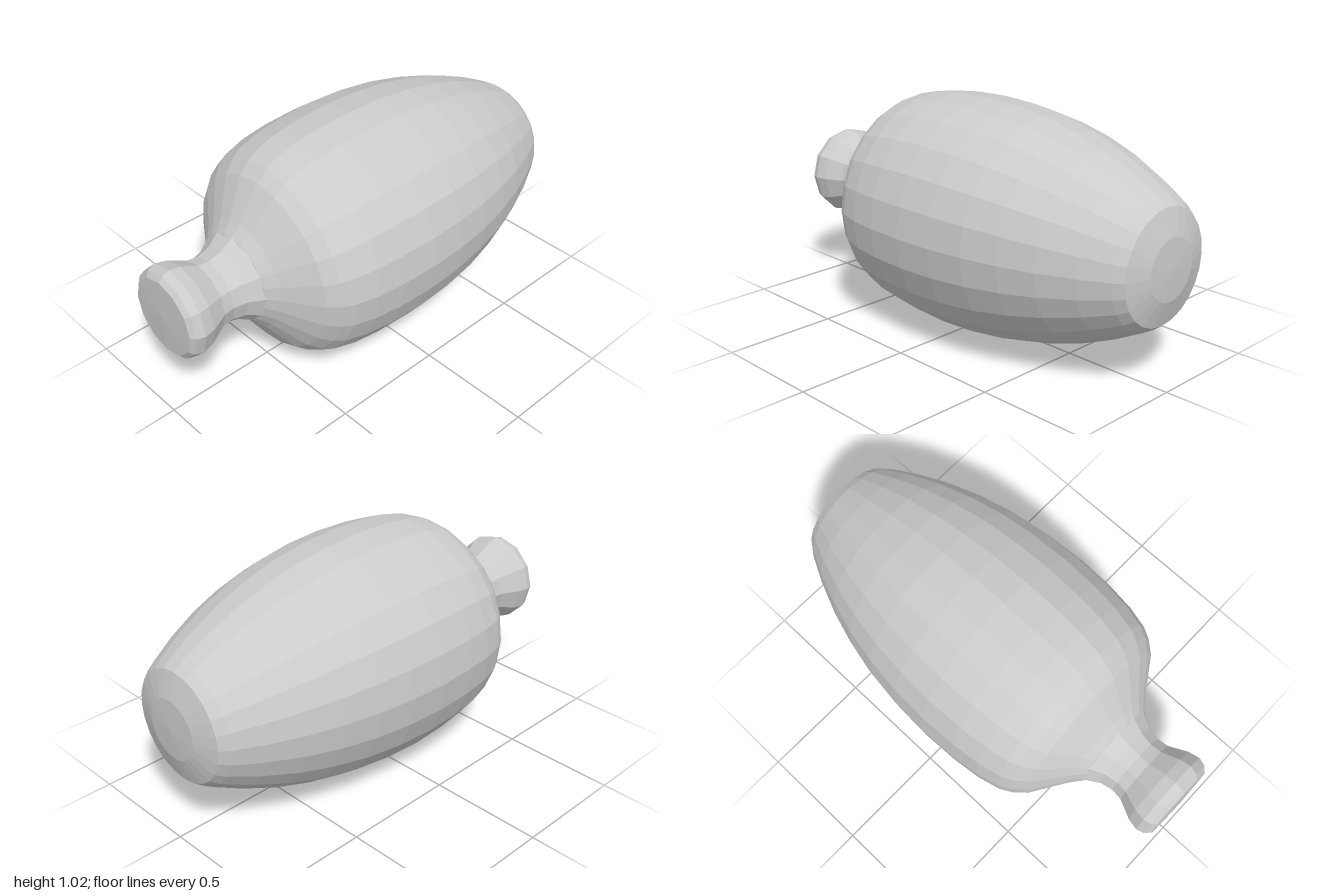
import * as THREE from 'three';

const CENTRE_Y = 0.51;

// Turned part around the z axis from [z, radius] pairs, listed back to front
function turned(name, profile, sides, material) {
  const points = profile.map(([z, r]) => new THREE.Vector2(r, z));
  const geometry = new THREE.LatheGeometry(points, sides);
  geometry.rotateX(Math.PI / 2);
  geometry.translate(0, CENTRE_Y, 0);
  const mesh = new THREE.Mesh(geometry, material);
  mesh.name = name;
  return mesh;
}

export function createModel() {
  const group = new THREE.Group();
  group.name = 'bottle';
  const grey = new THREE.MeshStandardMaterial({ color: 0xcccccc, flatShading: true });

  // Egg-shaped body: slightly domed base, widest in the middle, sloping shoulder
  group.add(turned('body', [
    [-1, 0], [-0.993, 0.13], [-0.96, 0.24], [-0.92, 0.27], [-0.8, 0.332],
    [-0.65, 0.395], [-0.5, 0.442], [-0.34, 0.478], [-0.17, 0.5], [0, 0.508],
    [0.17, 0.502], [0.3, 0.487], [0.4, 0.462], [0.45, 0.435], [0.5, 0.392],
    [0.55, 0.318], [0.6, 0.243], [0.64, 0.195], [0.67, 0.13],
  ], 24, grey));

  // Narrow neck flaring into a closed rounded mouth
  group.add(turned('neck', [
    [0.59, 0.245], [0.64, 0.196], [0.7, 0.16], [0.76, 0.147], [0.81, 0.153],
    [0.89, 0.192], [0.94, 0.203], [0.975, 0.192], [0.993, 0.17], [1, 0],
  ], 12, grey));

  return group;
}
